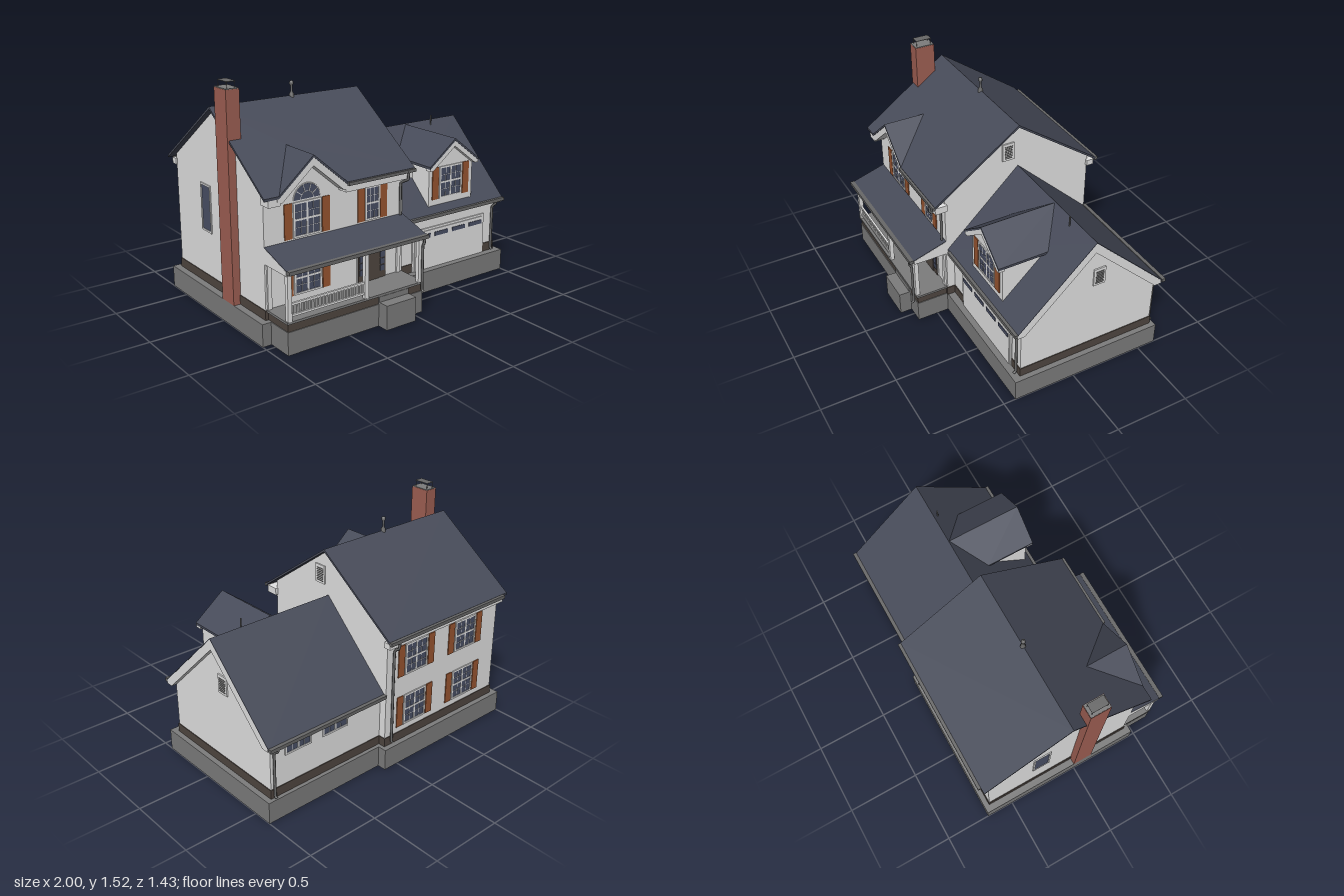
import * as THREE from 'three';

const mat = (name, color) => {
  const m = new THREE.MeshStandardMaterial({ color });
  m.name = name;
  return m;
};

export function createModel() {
  const root = new THREE.Group();
  root.name = 'house';
  const siding = mat('white siding', 0xe4e4e4);
  const roofing = mat('slate blue roof', 0x474b59);
  const shutterMat = mat('rust shutters', 0x9a5631);
  const brick = mat('red brick', 0xa06054);
  const stone = mat('grey concrete', 0x7d7d7d);
  const skirtMat = mat('brown skirting', 0x504741);
  const metal = mat('grey metal', 0x686868);
  const glassMat = mat('window glass', 0x4a5066);

  const add = (name, geo, material, parent = root) => {
    const m = new THREE.Mesh(geo, material);
    m.name = name;
    parent.add(m);
    return m;
  };
  // Box from two corners
  const box = (name, x0, y0, z0, x1, y1, z1, material, parent) => {
    const g = new THREE.BoxGeometry(x1 - x0, y1 - y0, z1 - z0);
    g.translate((x0 + x1) / 2, (y0 + y1) / 2, (z0 + z1) / 2);
    return add(name, g, material, parent);
  };
  const vecs = pts => pts.map(p => new THREE.Vector2(p[0], p[1]));
  // Outline is kept counter-clockwise so that hole walls face the right way
  const extrude = (pts, depth, holes = []) => {
    const outline = vecs(pts);
    if (THREE.ShapeUtils.isClockWise(outline)) outline.reverse();
    const s = new THREE.Shape(outline);
    holes.forEach(h => s.holes.push(new THREE.Path(vecs(h))));
    return new THREE.ExtrudeGeometry(s, { depth, bevelEnabled: false });
  };
  // Profiles drawn as [x,y], [z,y] and [x,z], pushed along the third axis
  const extZ = (pts, z0, z1, holes) => extrude(pts, z1 - z0, holes).translate(0, 0, z0);
  const extX = (pts, x0, x1) =>
    extrude(pts.map(p => [-p[0], p[1]]), x1 - x0).rotateY(Math.PI / 2).translate(x0, 0, 0);
  const flip = pts => pts.map(p => [p[0], -p[1]]);
  const extY = (pts, y0, y1, holes = []) =>
    extrude(flip(pts), y1 - y0, holes.map(flip)).rotateX(-Math.PI / 2).translate(0, y0, 0);
  const rect = (a0, b0, a1, b1) => [[a0, b0], [a1, b0], [a1, b1], [a0, b1]];

  // Roof slab: a plan outline lifted to height f(x, z)
  const roof = (name, pts, f, t = 0.016) => {
    const g = extY(pts, -t, 0);
    const p = g.attributes.position;
    for (let i = 0; i < p.count; i++) p.setY(i, p.getY(i) + f(p.getX(i), p.getZ(i)));
    g.computeVertexNormals();
    return add(name, g, roofing);
  };
  // Band under a gable: c centre, h half width, top ridge height, s slope, w band width; feet cut level
  const chevron = (c, h, top, s, w) => {
    const foot = top - s * h - .025, inner = (top - w - foot) / s;
    return [[c, top], [c + h, top - s * h], [c + h, foot], [c + inner, foot], [c, top - w],
      [c - inner, foot], [c - h, foot], [c - h, top - s * h]];
  };

  // Foundation walls, ledge, skirting and porch base
  const inside = [[-.988, -.678], [.098, -.678], [.098, -.618], [.988, -.618], [.988, .408], [.058, .408],
    [.058, .628], [-.928, .628], [-.928, .448], [-.988, .448]];
  add('foundation', extY([[-1, -.69], [.11, -.69], [.11, -.63], [1, -.63], [1, .42], [.07, .42],
    [.07, .64], [-.94, .64], [-.94, .46], [-1, .46]], 0, .145, [inside]), stone);
  add('foundationLedge', extY(inside, .137, .145,
    [rect(-.935, -.635, .06, .4), rect(.1, -.585, .945, .345)]), stone);
  add('mainSkirting', extY(rect(-.955, -.655, .085, .425), .145, .205, [rect(-.93, -.63, .06, .4)]), skirtMat);
  add('wingSkirting', extY(rect(.08, -.605, .965, .37), .145, .205, [rect(.09, -.58, .94, .345)]), skirtMat);
  box('porchSkirting', -.935, .145, .42, .065, .197, .635, skirtMat);
  box('porchFloor', -.945, .195, .42, .075, .21, .645, stone);
  box('porchStep', -.28, 0, .635, -.05, .16, .72, stone);
  box('porchRiser', -.28, .16, .63, -.05, .195, .648, stone);

  // Main house walls
  add('mainFrontWall', extZ([[-.95, .2], [.08, .2], [.08, .91], [-.41, .91], [-.65, 1.09], [-.89, .91], [-.95, .91]],
    .4, .42), siding);
  box('mainBackWall', -.95, .2, -.65, .08, .91, -.63, siding);
  const mainEnd = [[.42, .2], [.42, .95], [-.1, 1.322], [-.65, .93], [-.65, .2]];
  add('mainLeftWall', extX(mainEnd, -.95, -.93), siding);
  add('mainRightWall', extX(mainEnd, .06, .08), siding);
  // Garage wing walls
  box('wingFrontWall', .08, .2, .345, .96, .55, .365, siding);
  box('wingBackWall', .08, .2, -.6, .96, .54, -.58, siding);
  add('wingEndWall', extX([[.365, .2], [.365, .555], [-.11, 1.005], [-.6, .54], [-.6, .2]], .94, .96), siding);

  // Main roof with notch for the front cross gable
  const mainH = (x, z) => 1.34 - .7083 * Math.abs(z + .1);
  roof('mainRoofFront', [[-.99, -.1], [.11, -.1], [.11, .5], [-.41, .5], [-.65, .21], [-.89, .5], [-.99, .5]], mainH);
  roof('mainRoofBack', rect(-.99, -.695, .11, -.1), mainH);
  const crossH = x => 1.12 - .854 * Math.abs(x + .65);
  for (const s of [-1, 1])
    roof('crossGableRoof', [[-.65, .21], [-.65, .5], [-.65 + s * .24, .5]], crossH);
  add('crossGableTrim', extZ(chevron(-.65, .25, 1.108, .854, .055), .42, .496), siding);
  // Boxed eaves
  box('eaveReturnLeft', -.96, .855, .41, -.88, .905, .495, siding);
  box('eaveFront', -.42, .85, .41, .1, .898, .495, siding);
  box('eaveBack', -.96, .86, -.69, .1, .9, -.64, siding);

  // Wing roof, rake boards and eaves
  const wingH = (x, z) => 1.025 - .952 * Math.abs(z + .11);
  roof('wingRoofFront', rect(.082, -.11, .998, .41), wingH, .005);
  roof('wingRoofBack', rect(.082, -.64, .998, -.11), wingH, .005);
  add('wingRakeBoard', extX(chevron(-.11, .518, 1.0195, .952, .07), .955, .997), siding);
  box('wingEaveFront', .082, .503, .36, .955, .523, .408, siding);
  box('wingEaveBack', .082, .5, -.635, .955, .515, -.595, siding);

  // Dormer
  add('dormerFront', extZ([[.35, .575], [.735, .575], [.735, .85], [.5425, .995], [.35, .85]], .35, .365), siding);
  for (const x of [.35, .72])
    add('dormerSide', extX([[.365, .565], [.365, .86], [.06, .86]], x, x + .015), siding);
  const dormH = x => 1.02 - .76 * Math.abs(x - .54);
  for (const s of [-1, 1])
    roof('dormerRoof', [[.54, -.105], [.54, .405], [.54 + s * .215, .405], [.54 + s * .215, .066]], dormH);
  add('dormerTrim', extZ(chevron(.54, .213, 1.012, .76, .045), .36, .403), siding);

  // Porch roof, ceiling, posts and railing
  roof('porchRoof', rect(-.95, .42, .08, .66), (x, z) => .6 - .3125 * (z - .42), .004);
  add('porchBeam', extX([[.42, .595], [.42, .495], [.65, .495], [.65, .523]], -.95, .08), siding);
  for (const x of [-.925, -.375, .045]) box('porchPost', x - .014, .21, .616, x + .014, .5, .644, siding);
  for (const x of [-.925, .045]) box('porchPilaster', x - .014, .21, .42, x + .014, .5, .432, siding);
  for (const y of [.235, .305]) box('railBar', -.925, y, .623, -.375, y + .014, .637, siding);
  for (let i = 1; i < 22; i++) {
    const x = -.92 + i * .0248;
    box('baluster', x - .004, .24, .626, x + .004, .31, .634, siding);
  }

  // Window facing +z, turned by ry; cols and rows are pane counts
  const windowUnit = (name, x, y, z, ry, w, h, { shutters = false, cols = 4, rows = 4, gap = .035 } = {}) => {
    const g = new THREE.Group();
    g.name = name;
    box('glass', -w / 2, -h / 2, -.024, w / 2, h / 2, .003, glassMat, g);
    const W = w / 2 + .012, H = h / 2 + .012;
    add('frame', extZ(rect(-W, -H, W, H), 0, .007, [rect(-w / 2, -h / 2, w / 2, h / 2)]), siding, g);
    for (let i = 1; i < cols; i++) {
      const t = i * 2 === cols ? .006 : .001, a = -w / 2 + w * i / cols;
      box('muntin', a - t, -h / 2, 0, a + t, h / 2, .005, siding, g);
    }
    for (let i = 1; i < rows; i++) {
      const t = i * 2 === rows ? .006 : .001, b = -h / 2 + h * i / rows;
      box('muntin', -w / 2, b - t, 0, w / 2, b + t, .005, siding, g);
    }
    if (shutters) for (const s of [-1, 1]) {
      const c = s * (W + gap);
      box('shutter', c - .027, -H, 0, c + .027, H, .006, shutterMat, g);
    }
    g.position.set(x, y, z);
    g.rotation.y = ry;
    root.add(g);
  };
  const sh = { shutters: true };
  windowUnit('frontLowerWindow', -.65, .355, .42, 0, .175, .185, sh);
  windowUnit('frontUpperWindow', -.65, .72, .42, 0, .175, .195, sh);
  windowUnit('frontNarrowWindow', -.164, .72, .42, 0, .092, .195, { shutters: true, cols: 3, gap: .029 });
  windowUnit('dormerWindow', .54, .725, .365, 0, .175, .195, sh);
  for (const x of [-.64, -.18]) for (const y of [.355, .72])
    windowUnit('backWindow', x, y, -.65, Math.PI, .175, .195, sh);
  windowUnit('sideWindow', -.95, .66, -.26, -Math.PI / 2, .1, .29, { cols: 1, rows: 1 });
  for (const x of [.46, .75]) windowUnit('wingBackWindow', x, .44, -.6, Math.PI, .18, .05, { cols: 4, rows: 1 });

  // Fan window over the front gable window
  const fan = new THREE.Group();
  fan.name = 'fanWindow';
  fan.position.set(-.65, .84, .42);
  root.add(fan);
  add('fanGlass', new THREE.CircleGeometry(.092, 24, 0, Math.PI).translate(0, 0, .003), glassMat, fan);
  for (const r of [.045, .093]) add('fanArch', new THREE.TorusGeometry(r, .004, 6, 24, Math.PI), siding, fan);
  for (let i = 1; i < 5; i++) {
    const bar = box('fanBar', .045, -.002, 0, .092, .002, .006, siding, fan);
    bar.rotation.z = i * Math.PI / 5;
  }

  // Entrance with sidelights
  box('doorFrame', -.285, .205, .42, -.055, .462, .426, siding);
  box('doorSurround', -.278, .208, .42, -.062, .453, .43, skirtMat);
  box('frontDoor', -.225, .21, .42, -.115, .445, .435, skirtMat);
  for (const x of [-.252, -.088]) for (let i = 0; i < 4; i++)
    box('sidelight', x - .017, .255 + i * .046, .42, x + .017, .293 + i * .046, .434, glassMat);

  // Garage door
  box('garageFrame', .212, .145, .36, .858, .43, .374, siding);
  box('garageDoor', .228, .147, .36, .842, .415, .38, siding);
  for (let i = 0; i < 4; i++) {
    const x = .243 + i * .156;
    box('garageWindow', x, .365, .335, x + .118, .393, .384, glassMat);
  }

  // Louvred gable vents
  for (const [x, y, z] of [[.08, 1.15, -.037], [.96, .727, -.17]]) {
    box('ventFrame', x - .005, y - .062, z - .042, x + .009, y + .062, z + .042, siding);
    for (let i = 0; i < 8; i++)
      box('ventSlat', x, y - .047 + i * .012, z - .028, x + .012, y - .042 + i * .012, z + .028, metal);
  }

  // Chimney with cap
  box('chimneyLower', -1, .145, -.008, -.945, 1.05, .13, brick);
  box('chimneyUpper', -1, 1.05, -.008, -.91, 1.475, .13, brick);
  box('chimneyTop', -.998, 1.475, -.006, -.912, 1.48, .128, stone);
  for (const x of [-.982, -.93]) for (const z of [.008, .111])
    box('capLeg', x, 1.478, z, x + .003, 1.517, z + .003, metal);
  box('chimneyCap', -.985, 1.517, .006, -.924, 1.52, .116, metal);

  // Roof pipes
  add('roofVent', new THREE.LatheGeometry(vecs([[.018, 1.32], [.015, 1.35], [.007, 1.365], [.007, 1.405],
    [.014, 1.412], [.012, 1.43], [0, 1.434]]), 12).translate(-.405, 0, -.1), metal);
  add('wingPipe', new THREE.CylinderGeometry(.005, .005, .085, 10).translate(.75, 1.02, -.08), metal);

  // Gutters
  box('gutterMainBack', -.95, .895, -.715, .11, .918, -.693, metal);
  box('gutterMainFront', -.41, .893, .498, .11, .913, .516, metal);
  box('gutterPorch', -.95, .507, .655, .08, .53, .683, metal);
  box('gutterWingFront', .11, .512, .408, .998, .535, .428, metal);
  box('gutterWingBack', .085, .505, -.662, .998, .528, -.638, metal);

  // Downspouts as bent pipes: x and [z,y] path
  const spout = (x, pts) => {
    const path = new THREE.CatmullRomCurve3(pts.map(p => new THREE.Vector3(x, p[1], p[0])), false, 'catmullrom', .15);
    add('downspout', new THREE.TubeGeometry(path, 40, .0085, 8), metal);
  };
  spout(.05, [[.512, .905], [.508, .85], [.437, .808], [.437, .6]]);
  spout(.05, [[.675, .52], [.673, .48], [.66, .45], [.66, .17], [.675, .155]]);
  spout(.93, [[.418, .525], [.412, .495], [.38, .46], [.38, .17], [.395, .155]]);
  spout(.94, [[-.652, .518], [-.65, .49], [-.615, .455], [-.615, .17], [-.63, .155]]);
  spout(.03, [[-.705, .905], [-.7, .85], [-.662, .81], [-.662, .18], [-.676, .165]]);

  return root;
}
